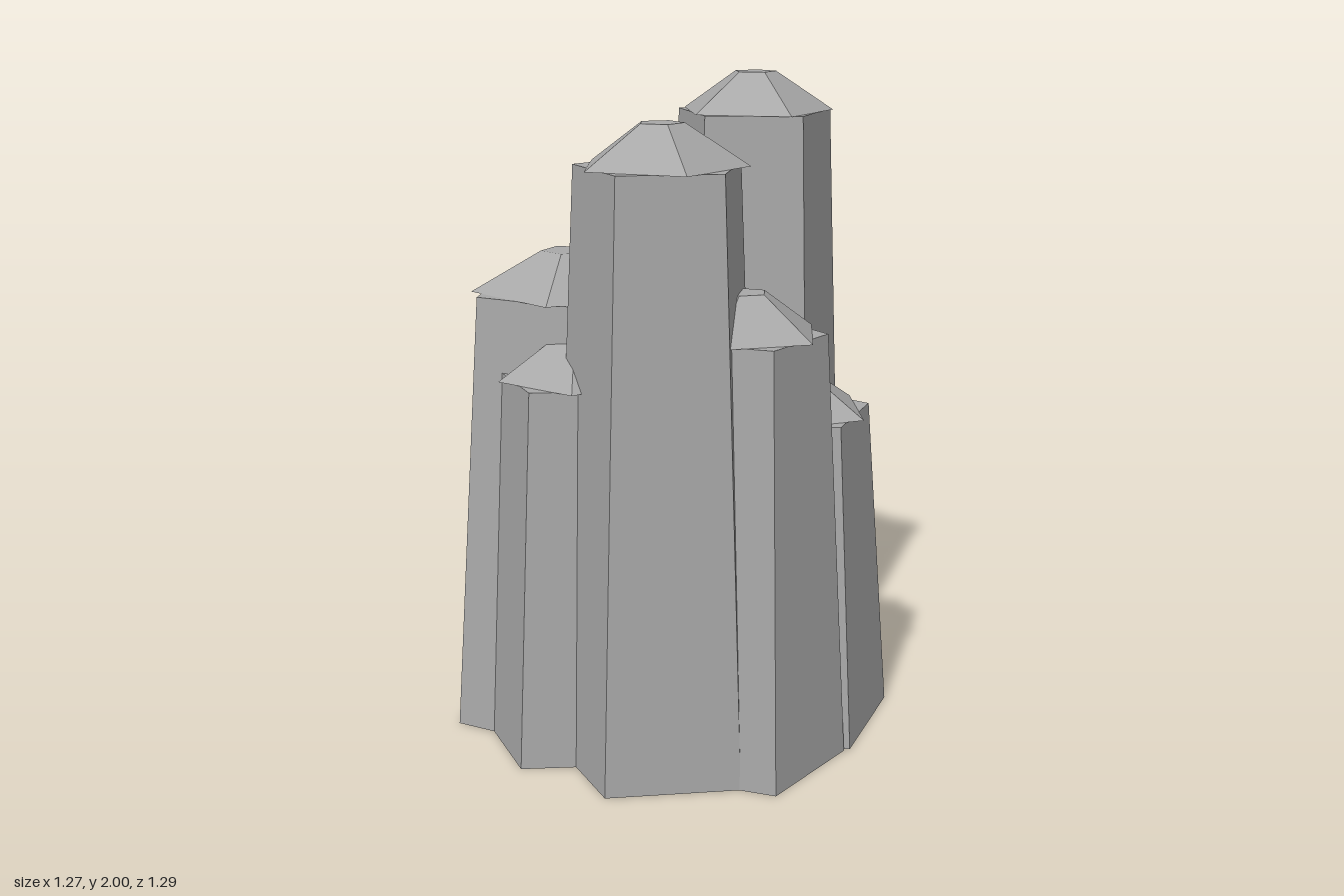
import * as THREE from 'three';

// Cluster of tapered five-sided stone columns, each with a low faceted cap.
const SIDES = 5;
const CAP_HEIGHT = 0.12;

// x, z: centre; r: base radius; h: shaft height;
// turn, capTurn: direction of one corner in degrees from +x towards +z
const COLUMNS = [
  { name: 'backRightColumn', x: -0.165, z: -0.259, r: 0.393, h: 1.36, turn: -82.5, capTurn: -64.5 },
  { name: 'backLeftColumn', x: 0.31, z: -0.194, r: 0.394, h: 1.59, turn: -34.5, capTurn: -48 },
  { name: 'leftColumn', x: 0.362, z: 0.061, r: 0.333, h: 1.88, turn: 37.5, capTurn: 46.5 },
  { name: 'frontLeftColumn', x: 0.196, z: 0.32, r: 0.346, h: 1.0, turn: 38.3, capTurn: 14 },
  { name: 'frontColumn', x: -0.127, z: 0.381, r: 0.314, h: 1.3, turn: 54, capTurn: 20 },
  { name: 'rightColumn', x: -0.29, z: 0.2, r: 0.337, h: 1.78, turn: 99, capTurn: 54 },
  { name: 'sideRightColumn', x: -0.32, z: -0.095, r: 0.316, h: 1.14, turn: 174, capTurn: -145.5 },
];

// Five-sided frustum standing on y, with a corner at the given direction
function frustum(name, rTop, rBottom, height, y, degrees, material) {
  const start = THREE.MathUtils.degToRad(90 - degrees);
  const geometry = new THREE.CylinderGeometry(rTop, rBottom, height, SIDES, 1, false, start).toNonIndexed();
  geometry.computeVertexNormals();
  const mesh = new THREE.Mesh(geometry, material);
  mesh.name = name;
  mesh.position.y = y + height / 2;
  return mesh;
}

export function createModel() {
  const model = new THREE.Group();
  model.name = 'stoneColumns';
  const stone = new THREE.MeshStandardMaterial({ color: 0xa8a8a8 });
  stone.name = 'grey stone';

  for (const c of COLUMNS) {
    const column = new THREE.Group();
    column.name = c.name;
    column.position.set(c.x, 0, c.z);
    column.add(
      frustum('shaft', c.r * 0.75, c.r, c.h, 0, c.turn, stone),
      frustum('cap', c.r * 0.2, c.r * 0.745, CAP_HEIGHT, c.h, c.capTurn, stone),
    );
    model.add(column);
  }
  return model;
}
